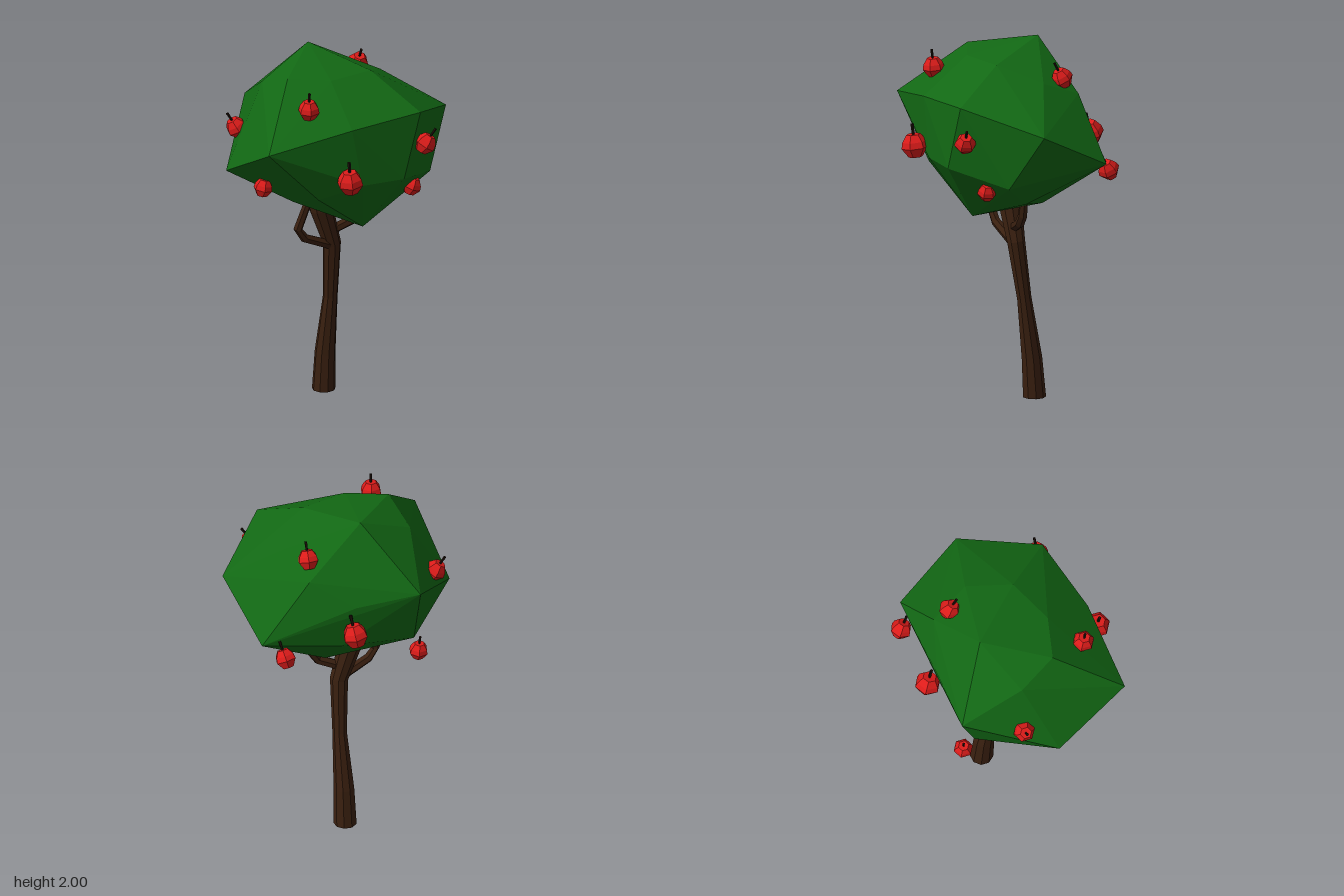
import * as THREE from 'three';
import { ConvexGeometry } from 'three/addons/geometries/ConvexGeometry.js';

const mat = (color) => new THREE.MeshStandardMaterial({ color, flatShading: true });
const UP = new THREE.Vector3(0, 1, 0);

// Tapered faceted limb through stations [x, y, z, radius], capped at both ends
function limbGeometry(stations, sides, flatStart) {
  const pts = stations.map((s) => new THREE.Vector3(s[0], s[1], s[2]));
  const pos = [];
  const idx = [];
  const last = pts.length - 1;
  pts.forEach((p, i) => {
    const dir = pts[Math.min(i + 1, last)].clone().sub(pts[Math.max(i - 1, 0)]).normalize();
    if (flatStart && i === 0) dir.copy(UP);
    const q = new THREE.Quaternion().setFromUnitVectors(UP, dir);
    for (let k = 0; k < sides; k++) {
      const a = (k / sides) * Math.PI * 2;
      const v = new THREE.Vector3(Math.cos(a), 0, Math.sin(a)).multiplyScalar(stations[i][3]);
      pos.push(...v.applyQuaternion(q).add(p).toArray());
    }
  });
  const start = pos.length / 3;
  pos.push(...pts[0].toArray(), ...pts[last].toArray());
  for (let k = 0; k < sides; k++) {
    const n = (k + 1) % sides;
    for (let i = 0; i < last; i++) {
      const a = i * sides + k, b = i * sides + n;
      idx.push(a, a + sides, b, b, a + sides, b + sides);
    }
    idx.push(start, k, n, start + 1, last * sides + n, last * sides + k);
  }
  const g = new THREE.BufferGeometry();
  g.setAttribute('position', new THREE.Float32BufferAttribute(pos, 3));
  g.setIndex(idx);
  g.computeVertexNormals();
  return g;
}

export function createModel() {
  const tree = new THREE.Group();
  const bark = mat(0x3a2010);
  const leaf = mat(0x126814);
  const red = mat(0xdd1c1a);
  const stemMat = mat(0x1c0f08);

  const add = (parent, name, geometry, material) => {
    const m = new THREE.Mesh(geometry, material);
    m.name = name;
    parent.add(m);
    return m;
  };

  // Leaning trunk and two bent branches
  add(tree, 'trunk', limbGeometry([
    [-0.04, 0, -0.165, 0.064], [-0.035, 0.22, -0.15, 0.057], [-0.015, 0.56, -0.105, 0.04],
    [-0.015, 0.88, -0.06, 0.05], [-0.08, 1.1, -0.035, 0.066], [-0.11, 1.25, -0.02, 0.06],
  ], 9, true), bark);
  add(tree, 'rightBranch', limbGeometry([
    [-0.03, 0.88, -0.04, 0.028], [-0.18, 0.95, 0.02, 0.026], [-0.22, 1.01, 0.035, 0.025], [-0.16, 1.18, 0.04, 0.022],
  ], 6), bark);
  add(tree, 'leftBranch', limbGeometry([
    [-0.04, 0.95, -0.05, 0.028], [0.1, 1.01, -0.06, 0.027], [0.13, 1.06, -0.07, 0.026], [0.17, 1.2, -0.075, 0.022],
  ], 6), bark);

  // Crown: faceted hull over a few corner points, from the top down
  const corners = [
    [-0.12, 2, -0.2], [-0.3, 1.93, 0.155], [-0.07, 1.92, 0.2], [0.17, 1.92, 0.08],
    [-0.4, 1.85, -0.05], [0.27, 1.83, -0.16], [0.4, 1.75, 0.32], [0.17, 1.74, -0.37],
    [0, 1.72, 0.45], [-0.43, 1.65, -0.4], [-0.47, 1.63, 0.51], [0.62, 1.62, -0.1],
    [-0.08, 1.6, -0.43], [0.435, 1.41, -0.476], [-0.625, 1.4, 0.09], [0.06, 1.39, 0.43],
    [0.3, 1.39, 0.37], [0, 1.34, -0.41], [-0.4, 1.31, -0.32], [-0.175, 1.31, 0.39],
    [0.5, 1.31, 0.07], [-0.27, 1.22, 0.16], [0.34, 1.18, -0.05], [-0.18, 1.14, -0.08],
    [0.07, 1.11, -0.19], [0.105, 1.065, 0.2],
  ];
  add(tree, 'crown', new ConvexGeometry(corners.map((c) => new THREE.Vector3(...c))), leaf);

  // Apples: [x, y, z, size, tilt about x, tilt about z]
  const profile = [[0, -0.05], [0.032, -0.05], [0.06, -0.008], [0.054, 0.02], [0.032, 0.052], [0, 0.05]];
  const appleGeo = new THREE.LatheGeometry(profile.map((p) => new THREE.Vector2(...p)), 6);
  const stemGeo = new THREE.CylinderGeometry(0.008, 0.006, 0.06, 5);
  [
    [-0.22, 1.82, 0.355, 1, 0.1, 0], [-0.02, 1.44, 0.495, 1.22, 0.1, 0.08],
    [0.43, 1.56, 0.3, 1, 0, -0.6], [0.38, 1.27, 0.17, 0.9, 0, -0.4],
    [-0.45, 1.345, 0.24, 0.9, 0, -0.2], [-0.42, 1.275, -0.39, 0.9, 0, 0.1],
    [-0.535, 1.58, -0.08, 1, 0, 0.55], [0.17, 1.83, -0.28, 1, 0.45, -0.1],
    [-0.07, 1.455, -0.48, 1.2, 0.25, -0.2], [0.31, 1.345, -0.51, 1, 0.45, -0.3],
  ].forEach(([x, y, z, size, rx, rz]) => {
    const apple = new THREE.Group();
    apple.name = 'apple';
    add(apple, 'fruit', appleGeo, red);
    add(apple, 'stem', stemGeo, stemMat).position.y = 0.07;
    apple.position.set(x, y, z);
    apple.rotation.set(rx, 0, rz);
    apple.scale.setScalar(size);
    tree.add(apple);
  });
  return tree;
}
